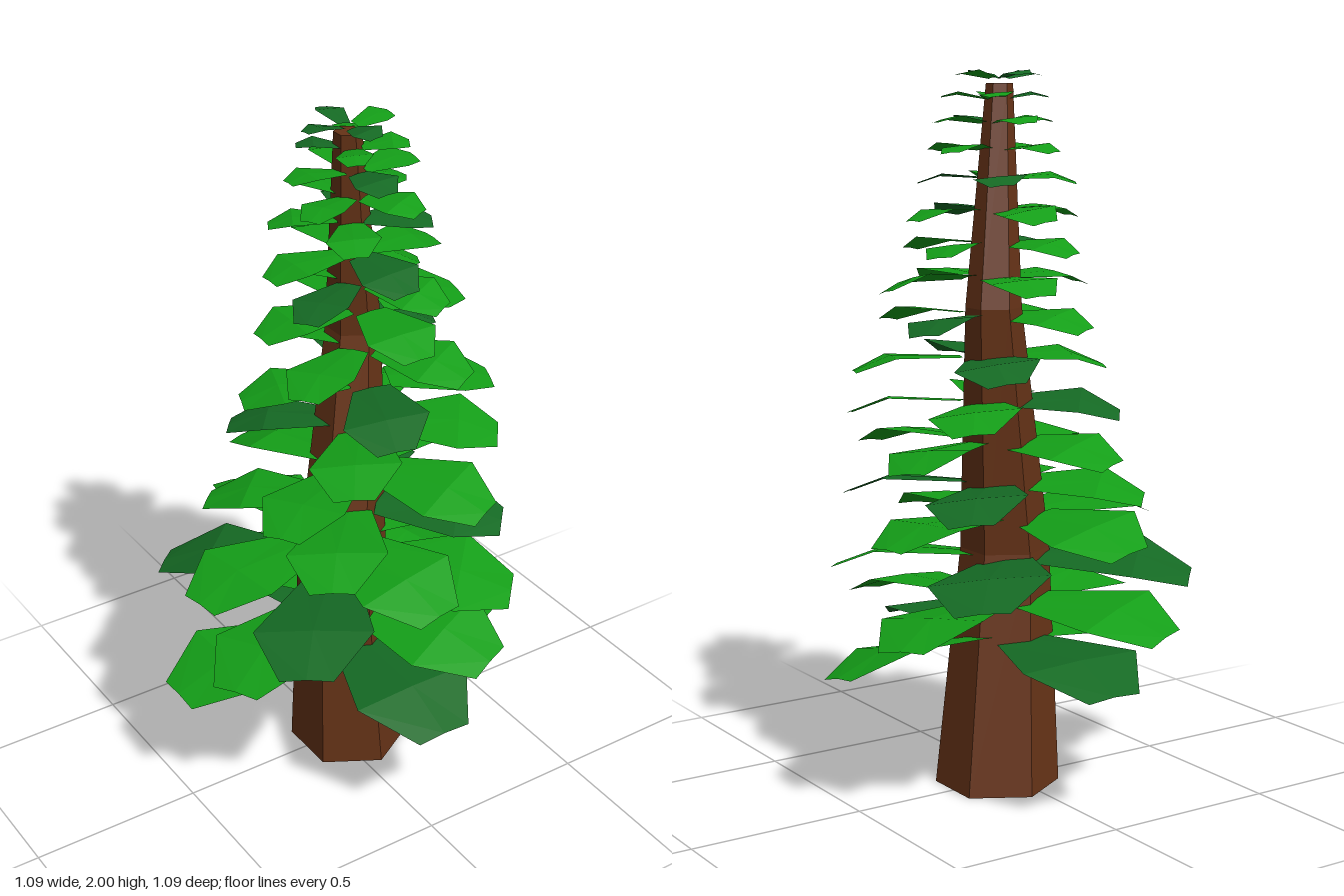
import * as THREE from 'three';

// trunk rings: [x, y, z, radius]
const RINGS = [
  [0.045, 0, 0.005, 0.175],
  [-0.003, 0.67, 0.038, 0.126],
  [0.082, 1.36, -0.035, 0.077],
  [0.015, 1.96, 0.037, 0.037],
];

// leaf tiers: [x, y, z, leaf length, turn in degrees, which of the four leaves are dark, roll of each leaf]
const EVEN = [0.13, 0.13, 0.13, 0.13];
const SLIGHT = [0.09, 0.09, 0.09, 0.09];
const TIERS = [
  [0.01, 0.425, 0.015, 0.54, 2, '0101', [0.22, 0.05, 0.05, 0.03]],
  [0.005, 0.535, 0.01, 0.51, -22, '0000', EVEN],
  [-0.015, 0.65, 0.025, 0.505, 43, '0111', EVEN],
  [-0.04, 0.765, 0.035, 0.46, -6, '0000', [0.06, 0.12, 0.05, 0.19]],
  [0.03, 0.86, 0.045, 0.42, 42, '1001', EVEN],
  [0.045, 0.98, 0.055, 0.4, -24, '0000', EVEN],
  [0.075, 1.095, 0.025, 0.375, 38, '0010', EVEN],
  [0.085, 1.22, 0.03, 0.35, 22, '0101', [0.06, 0.13, 0.06, 0.13]],
  [0.07, 1.335, 0.03, 0.315, -26, '1000', EVEN],
  [0.08, 1.44, 0.01, 0.305, 5, '0000', [0.2, 0.06, 0.05, 0.04]],
  [0.055, 1.53, 0.025, 0.26, -25, '0010', EVEN],
  [0.035, 1.62, 0.035, 0.255, 2, '0100', [0.04, 0.1, 0.04, 0.15]],
  [0.035, 1.705, 0.02, 0.215, 30, '1001', SLIGHT],
  [0.035, 1.78, 0.04, 0.2, -22, '0000', SLIGHT],
  [0.025, 1.85, 0.045, 0.185, 5, '0100', SLIGHT],
  [0.025, 1.915, 0.045, 0.145, 30, '0010', SLIGHT],
  [0.015, 1.97, 0.04, 0.13, 0, '0111', EVEN],
];

// six-sided tapering trunk, bent by moving each ring
function makeTrunk() {
  const geo = new THREE.CylinderGeometry(1, 1, 1, 6, RINGS.length - 1);
  const p = geo.attributes.position;
  for (let i = 0; i < p.count; i++) {
    const [x, y, z, r] = RINGS[Math.round((p.getY(i) + 0.5) * (RINGS.length - 1))];
    p.setXYZ(i, x + p.getX(i) * r, y, z + p.getZ(i) * r);
  }
  geo.computeVertexNormals();
  const mesh = new THREE.Mesh(geo, new THREE.MeshStandardMaterial({ color: 0x663317, flatShading: true }));
  mesh.name = 'trunk';
  return mesh;
}

// unit leaf along +x: three cross-sections (root, widest, tip), each edge - rib - edge
function makeLeafGeometry() {
  const sections = [[0.16, 0.15, 0], [0.71, 0.335, 0.015], [1, 0.148, -0.1]];
  const pos = [], index = [];
  for (const [u, w, y] of sections) pos.push(u, y, -w, u, y + 0.01, 0, u, y, w);
  for (let s = 0; s < 2; s++) {
    for (let k = 0; k < 2; k++) {
      const a = s * 3 + k;
      index.push(a, a + 1, a + 3, a + 1, a + 4, a + 3);
    }
  }
  const geo = new THREE.BufferGeometry();
  geo.setAttribute('position', new THREE.Float32BufferAttribute(pos, 3));
  geo.setIndex(index);
  geo.computeVertexNormals();
  return geo;
}

export function createModel() {
  const tree = new THREE.Group();
  tree.name = 'tree';
  tree.add(makeTrunk());

  const leafGeo = makeLeafGeometry();
  const [bright, dark] = [0x149f18, 0x156a24].map((color) =>
    new THREE.MeshStandardMaterial({ color, flatShading: true, side: THREE.DoubleSide }));

  // whorls of four leaves, rolled like a propeller, lifting near the top
  TIERS.forEach(([x, y, z, length, turn, shades, rolls], t) => {
    const tier = new THREE.Group();
    tier.name = 'leafTier' + (t + 1);
    tier.position.set(x, y, z);
    rolls.forEach((roll, k) => {
      const leaf = new THREE.Mesh(leafGeo, shades[k] === '1' ? dark : bright);
      leaf.name = 'leaf';
      leaf.scale.setScalar(length);
      leaf.rotation.order = 'YXZ';
      leaf.rotation.y = -(THREE.MathUtils.degToRad(turn) + k * Math.PI / 2);
      leaf.rotation.x = roll;
      leaf.rotation.z = Math.max(0, t - 11) * 0.04;
      tier.add(leaf);
    });
    tree.add(tier);
  });
  return tree;
}
